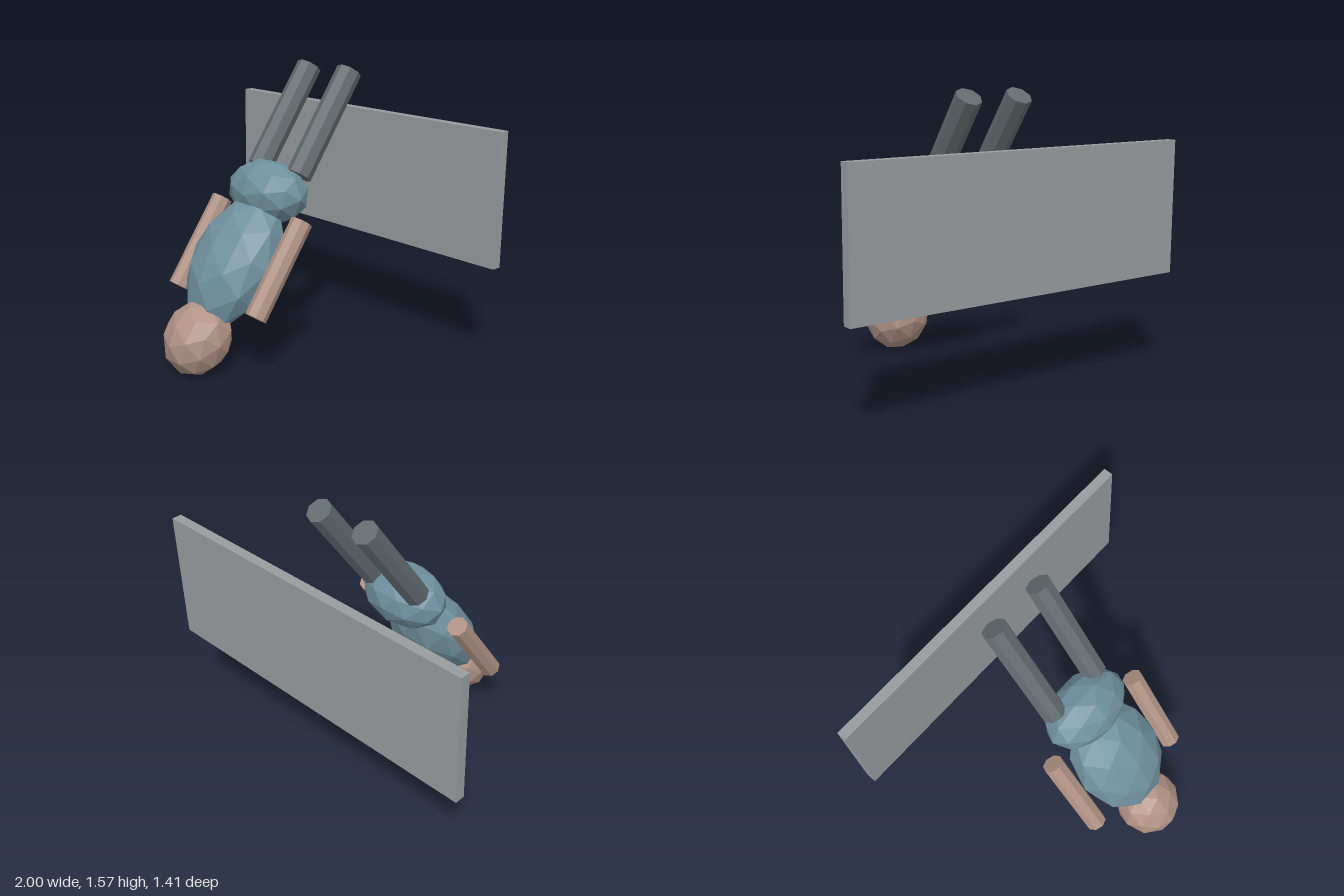
import * as THREE from 'three';

const mat = (name, color) => {
  const m = new THREE.MeshStandardMaterial({ color });
  m.name = name;
  m.flatShading = true;
  return m;
};

export function createModel() {
  const shirt = mat('dusty blue', 0x6f909e);
  const skin = mat('skin tan', 0xb09284);
  const trousers = mat('dark slate', 0x626b6f);
  const panel = mat('panel grey', 0x989c9e);

  const model = new THREE.Group();
  model.name = 'divingFigure';

  // Body tilted along one spine axis, head lowest and forward
  const body = new THREE.Group();
  body.name = 'body';
  body.position.set(0, 0.57, 0.27);
  body.rotation.x = -THREE.MathUtils.degToRad(35);
  model.add(body);

  const add = (parent, name, geometry, material, x, y, z) => {
    const mesh = new THREE.Mesh(geometry, material);
    mesh.name = name;
    mesh.position.set(x, y, z);
    parent.add(mesh);
  };

  // Faceted ellipsoid and eight-sided rod
  const blob = (rx, ry, rz) => new THREE.IcosahedronGeometry(1, 1).scale(rx, ry, rz);
  const rod = (r, h) => new THREE.CylinderGeometry(r, r, h, 8);

  add(body, 'torso', blob(0.27, 0.385, 0.19), shirt, 0, 0, 0);
  add(body, 'pelvis', blob(0.263, 0.177, 0.177), shirt, 0, 0.412, 0.002);
  add(body, 'head', blob(0.188, 0.21, 0.175), skin, 0, -0.45, -0.003);

  // Limbs on both sides, parallel to the spine
  for (const [side, s] of [['left', 1], ['right', -1]]) {
    add(body, side + 'Arm', rod(0.058, 0.55), skin, s * 0.328, 0.033, -0.004);
    add(body, side + 'Leg', rod(0.07, 0.64), trousers, s * 0.157, 0.862, -0.004);
  }

  // Upright panel standing behind the figure
  add(model, 'backPanel', new THREE.BoxGeometry(2, 0.725, 0.055), panel, 0, 0.928, -0.672);

  return model;
}
